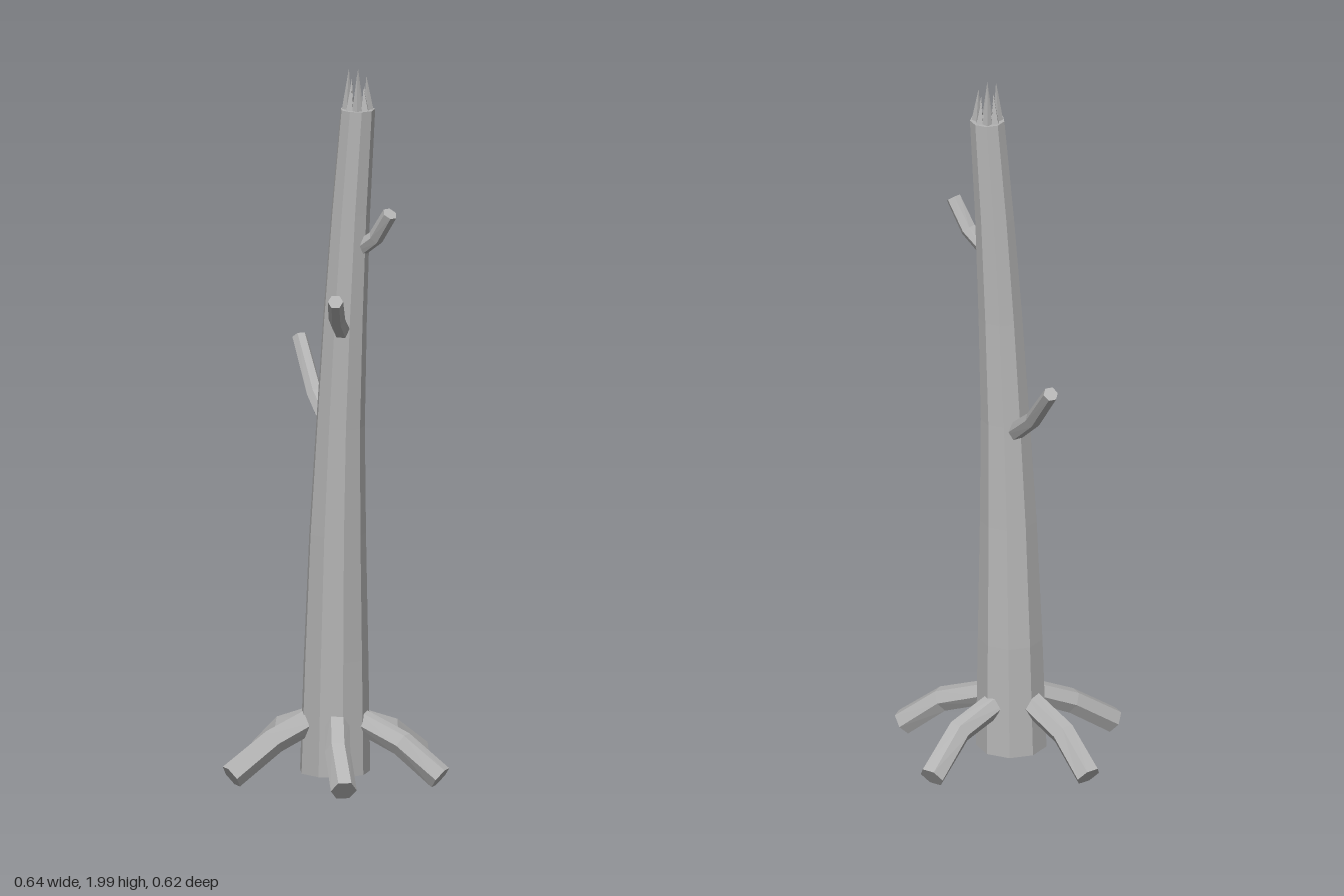
import * as THREE from 'three';

// Faceted limb: polygonal rings [x, y, z, radius] joined into a capped solid.
// Level rings lie flat; otherwise each ring faces along the path.
function limbGeometry(rings, sides, { level = false, phase = 0 } = {}) {
  const centres = rings.map(r => new THREE.Vector3(r[0], r[1], r[2]));
  const pos = [], index = [];
  const add = v => pos.push(v.x, v.y, v.z);
  rings.forEach((r, i) => {
    const dir = level ? new THREE.Vector3(0, 1, 0)
      : centres[Math.min(i + 1, rings.length - 1)].clone().sub(centres[Math.max(i - 1, 0)]).normalize();
    const ref = level ? new THREE.Vector3(0, 0, 1) : new THREE.Vector3(0, 1, 0);
    const u = ref.cross(dir).normalize();
    const v = dir.clone().cross(u);
    for (let k = 0; k < sides; k++) {
      const a = phase + k / sides * Math.PI * 2;
      add(centres[i].clone().addScaledVector(u, Math.cos(a) * r[3]).addScaledVector(v, Math.sin(a) * r[3]));
    }
  });
  const last = (rings.length - 1) * sides, c0 = rings.length * sides, c1 = c0 + 1;
  add(centres[0]);
  add(centres[centres.length - 1]);
  for (let k = 0; k < sides; k++) {
    const n = (k + 1) % sides;
    for (let i = 0; i < last; i += sides) {
      index.push(i + k, i + n, i + sides + n, i + k, i + sides + n, i + sides + k);
    }
    index.push(c0, n, k, c1, last + k, last + n);
  }
  const g = new THREE.BufferGeometry();
  g.setAttribute('position', new THREE.Float32BufferAttribute(pos, 3));
  g.setIndex(index);
  const flat = g.toNonIndexed();
  flat.computeVertexNormals();
  return flat;
}

export function createModel() {
  const tree = new THREE.Group();
  tree.name = 'deadTree';
  const wood = new THREE.MeshStandardMaterial({ color: 0xb4b4b4, flatShading: true });
  wood.name = 'grey wood';
  const addPart = (name, geometry) => {
    const mesh = new THREE.Mesh(geometry, wood);
    mesh.name = name;
    tree.add(mesh);
    return mesh;
  };

  // Leaning, tapering trunk
  addPart('trunk', limbGeometry([
    [-0.016, 0.03, 0.01, 0.098],
    [-0.01, 0.35, 0.016, 0.09],
    [0.0, 0.7, 0.027, 0.079],
    [0.012, 1.0, 0.034, 0.068],
    [0.028, 1.3, 0.039, 0.061],
    [0.046, 1.6, 0.04, 0.054],
    [0.068, 1.89, 0.04, 0.048],
  ], 9, { level: true, phase: 0.15 }));

  // Roots: start, bend and end, sloping down to the ground
  const roots = [
    [[0.0, -0.04], [0.07, -0.16], [0.098, -0.29]],
    [[0.05, 0.0], [0.19, 0.015], [0.302, 0.007]],
    [[0.02, 0.07], [0.075, 0.185], [0.138, 0.28]],
    [[-0.06, 0.05], [-0.14, 0.137], [-0.222, 0.235]],
    [[-0.07, -0.005], [-0.2, -0.065], [-0.296, -0.123]],
  ];
  roots.forEach((path, i) => addPart('root' + (i + 1), limbGeometry(
    path.map(([x, z], j) => [x, [0.178, 0.125, 0.038][j], z, [0.034, 0.035, 0.036][j]]), 6)));

  // Broken side branches
  const branches = [
    [[-0.02, 0.97, 0.01, 0.026], [-0.11, 1.06, -0.065, 0.023], [-0.2, 1.195, -0.16, 0.021]],
    [[0.035, 1.26, 0.06, 0.025], [0.052, 1.32, 0.14, 0.023], [0.092, 1.39, 0.235, 0.021]],
    [[0.06, 1.49, 0.035, 0.023], [0.13, 1.54, 0.055, 0.022], [0.184, 1.615, 0.08, 0.021]],
  ];
  branches.forEach((rings, i) => addPart('branch' + (i + 1), limbGeometry(rings, 6)));

  // Splinters around the snapped top
  const heights = [0.06, 0.1, 0.07, 0.11, 0.08, 0.105, 0.06, 0.09];
  heights.forEach((h, i) => {
    const a = i / heights.length * Math.PI * 2 + 0.4;
    const x = 0.068 + Math.cos(a) * 0.03, z = 0.04 + Math.sin(a) * 0.03;
    addPart('splinter' + (i + 1), limbGeometry([
      [x, 1.885, z, 0.014],
      [x - Math.cos(a) * 0.006, 1.89 + h, z - Math.sin(a) * 0.006, 0.0005],
    ], 4, { level: true, phase: -a }));
  });

  return tree;
}
